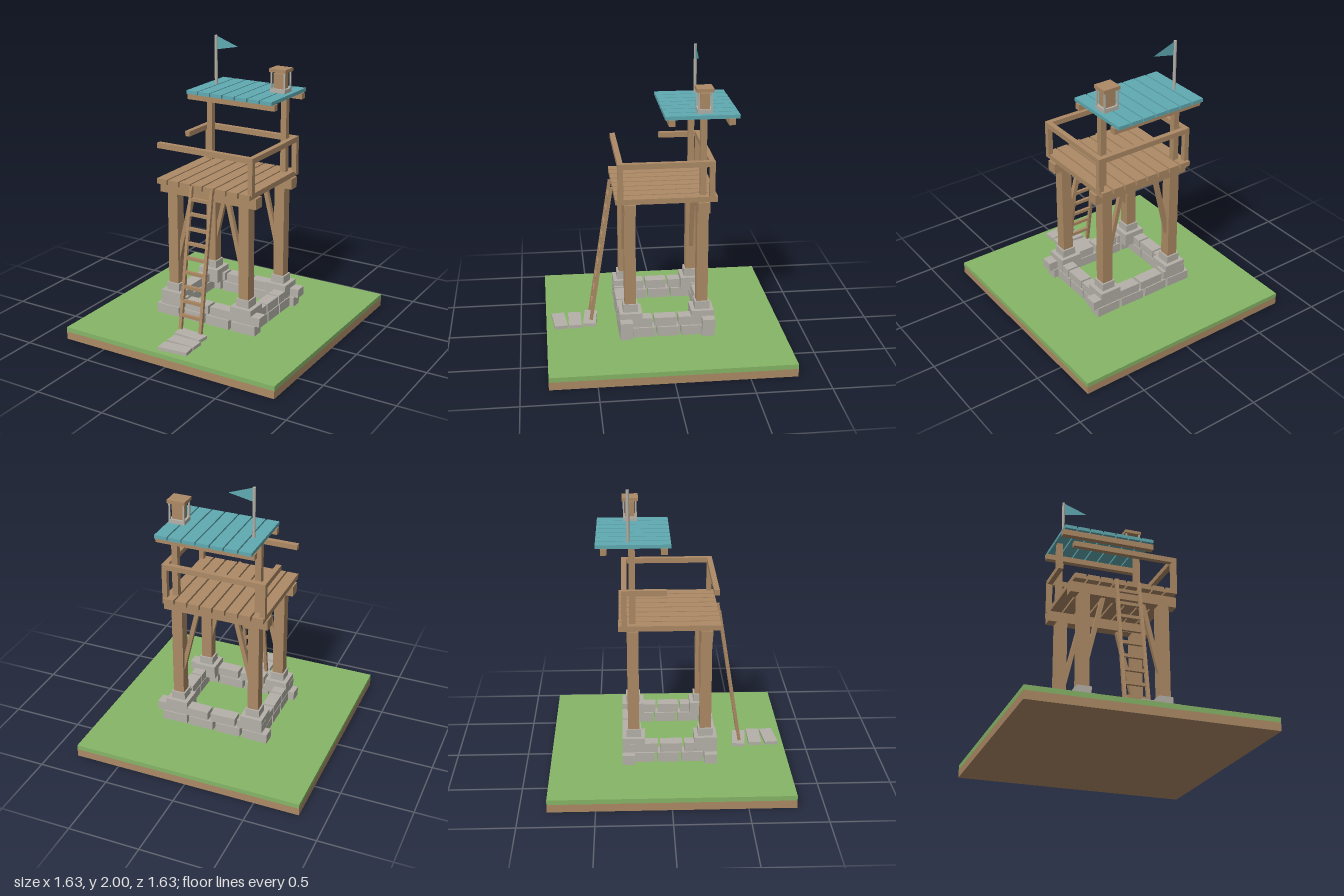
import * as THREE from 'three';

const mat = (name, color, side = THREE.FrontSide) => {
  const m = new THREE.MeshStandardMaterial({ color, side });
  m.name = name;
  return m;
};

export function createModel() {
  const wood = mat('wood', 0xad8a65);
  const grass = mat('grass', 0x86b567);
  const stone = mat('stone', 0xb5b1a9);
  const teal = mat('teal paint', 0x5faab1);
  const cloth = mat('flag cloth', 0x5faab1, THREE.DoubleSide);

  const model = new THREE.Group();
  model.name = 'watchtower';
  const group = (name) => {
    const g = new THREE.Group();
    g.name = name;
    model.add(g);
    return g;
  };
  // box from min and max extents on each axis
  const box = (parent, name, material, [x0, x1], [y0, y1], [z0, z1]) => {
    const mesh = new THREE.Mesh(new THREE.BoxGeometry(x1 - x0, y1 - y0, z1 - z0), material);
    mesh.position.set((x0 + x1) / 2, (y0 + y1) / 2, (z0 + z1) / 2);
    mesh.name = name;
    parent.add(mesh);
    return mesh;
  };
  // range around a centre
  const about = (c, size) => [c - size / 2, c + size / 2];
  // square bar between two points
  const bar = (parent, name, material, a, b, w, d) => {
    const from = new THREE.Vector3(...a), to = new THREE.Vector3(...b);
    const mesh = new THREE.Mesh(new THREE.BoxGeometry(w, from.distanceTo(to), d), material);
    mesh.position.copy(from).add(to).multiplyScalar(0.5);
    mesh.quaternion.setFromUnitVectors(new THREE.Vector3(0, 1, 0), to.sub(from).normalize());
    mesh.name = name;
    parent.add(mesh);
  };

  // ground slab
  const ground = group('ground');
  box(ground, 'soil', wood, [-0.817, 0.817], [0, 0.055], [-0.817, 0.817]);
  box(ground, 'grass', grass, [-0.817, 0.817], [0.055, 0.088], [-0.817, 0.817]);

  // two courses of foundation stones, the upper one shifted sideways
  const foundation = group('foundation');
  [[0.112, 0.18, -0.005], [0.187, 0.25, 0.032]].forEach(([y0, y1, shift], course) => {
    for (const s of [-1, 1]) {
      for (let i = 0; i < 4; i++) {
        const x = (i - 1.5) * 0.202 + shift;
        const block = box(foundation, 'wallStone', stone, about(x, 0.183), [y0, y1], about(s * 0.28, 0.085));
        block.rotation.y = (i % 2 ? 1 : -1) * 0.015;
      }
      for (let i = 0; i < 3; i++) {
        const z = (i - 1) * 0.165 + (course ? 0.01 : -0.01);
        box(foundation, 'sideStone', stone, about(s * 0.315, 0.085), [y0, y1], about(z, 0.15));
      }
    }
  });

  // legs with stone footings, cross beams and braces
  const frame = group('frame');
  for (const sz of [-1, 1]) {
    const z = sz * 0.245;
    for (const sx of [-1, 1]) {
      const x = sx * 0.28;
      box(frame, 'footing', stone, about(x, 0.16), [0.19, 0.29], about(z, 0.155));
      box(frame, 'footingCap', stone, about(x, 0.1), [0.29, 0.345], about(z, 0.1));
      box(frame, 'leg', wood, about(x, 0.077), [0.345, 1.0], about(z, 0.077));
      bar(frame, 'brace', wood, [sx * 0.262, 0.5, z], [sx * 0.14, 1.01, z], 0.03, 0.03);
    }
    box(frame, 'crossBeam', wood, [-0.378, 0.374], [1.0, 1.075], about(z, 0.078));
  }

  // deck planks
  const deck = group('deck');
  for (let i = 0; i < 8; i++) {
    box(deck, 'deckPlank', wood, about((i - 3.5) * 0.092 - 0.005, 0.08), [1.075, 1.112], [-0.338, 0.34]);
  }

  // railing, with a gap on one side
  const railing = group('railing');
  const railY = [1.32, 1.357];
  for (const z of [-0.299, 0.306]) box(railing, 'rail', wood, [-0.37, 0.367], railY, about(z, 0.036));
  box(railing, 'longSideRail', wood, [0.331, 0.367], railY, [-0.317, 0.324]);
  box(railing, 'shortSideRail', wood, [-0.37, -0.334], railY, [-0.317, -0.02]);
  for (const [x, z] of [[0.349, 0.306], [0.349, -0.299], [-0.352, -0.299]]) {
    box(railing, 'railPost', wood, about(x, 0.036), [1.1, 1.32], about(z, 0.036));
  }

  // ladder leaning on the deck
  const ladder = group('ladder');
  const ladderZ = (y) => 0.503 - (y - 0.13) * 0.158;
  for (const x of [-0.082, 0.077]) {
    bar(ladder, 'ladderRail', wood, [x, 0.13, ladderZ(0.13)], [x, 1.105, ladderZ(1.105)], 0.022, 0.022);
  }
  for (let i = 0; i < 9; i++) {
    const y = 0.228 + i * 0.099;
    box(ladder, 'rung', wood, [-0.09, 0.085], about(y, 0.022), about(ladderZ(y), 0.02));
  }

  // roof on two posts
  const roof = group('roof');
  for (const x of [-0.299, 0.294]) {
    box(roof, 'roofPost', wood, about(x, 0.042), [1.1, 1.632], about(-0.245, 0.042));
  }
  for (const z of [-0.034, -0.426]) {
    box(roof, 'roofBeam', wood, [-0.344, 0.338], [1.59, 1.632], about(z, 0.042));
  }
  for (let i = 0; i < 7; i++) {
    box(roof, 'roofPlank', teal, about((i - 3) * 0.0965 - 0.004, 0.087), [1.632, 1.657], [-0.48, 0.01]);
  }

  // flag
  const flag = group('flag');
  const pole = new THREE.Mesh(new THREE.CylinderGeometry(0.011, 0.011, 0.36, 8), stone);
  pole.position.set(-0.267, 1.82, -0.267);
  pole.name = 'flagPole';
  const pennant = new THREE.Mesh(
    new THREE.ShapeGeometry(new THREE.Shape([
      new THREE.Vector2(-0.256, 1.902), new THREE.Vector2(-0.092, 1.935), new THREE.Vector2(-0.256, 1.995),
    ])), cloth);
  pennant.position.z = -0.267;
  pennant.name = 'pennant';
  flag.add(pole, pennant);

  // lantern
  const lantern = group('lantern');
  const lx = 0.255, lz = -0.252;
  box(lantern, 'lanternBase', stone, about(lx, 0.112), [1.665, 1.692], about(lz, 0.096));
  box(lantern, 'lanternCore', wood, about(lx, 0.078), [1.692, 1.795], about(lz, 0.064));
  box(lantern, 'lanternCap', wood, about(lx, 0.125), [1.806, 1.83], about(lz, 0.112));
  for (const sx of [-1, 1]) for (const sz of [-1, 1]) {
    box(lantern, 'lanternPost', stone, about(lx + sx * 0.05, 0.011), [1.692, 1.806], about(lz + sz * 0.042, 0.011));
  }

  // stepping stones
  const path = group('path');
  for (const [x, z, turn] of [[0, 0.507, -0.1], [0.018, 0.617, 0], [0.02, 0.724, 0.1]]) {
    box(path, 'steppingStone', stone, about(x, 0.212), [0.088, 0.112], about(z, 0.09)).rotation.y = turn;
  }

  return model;
}
